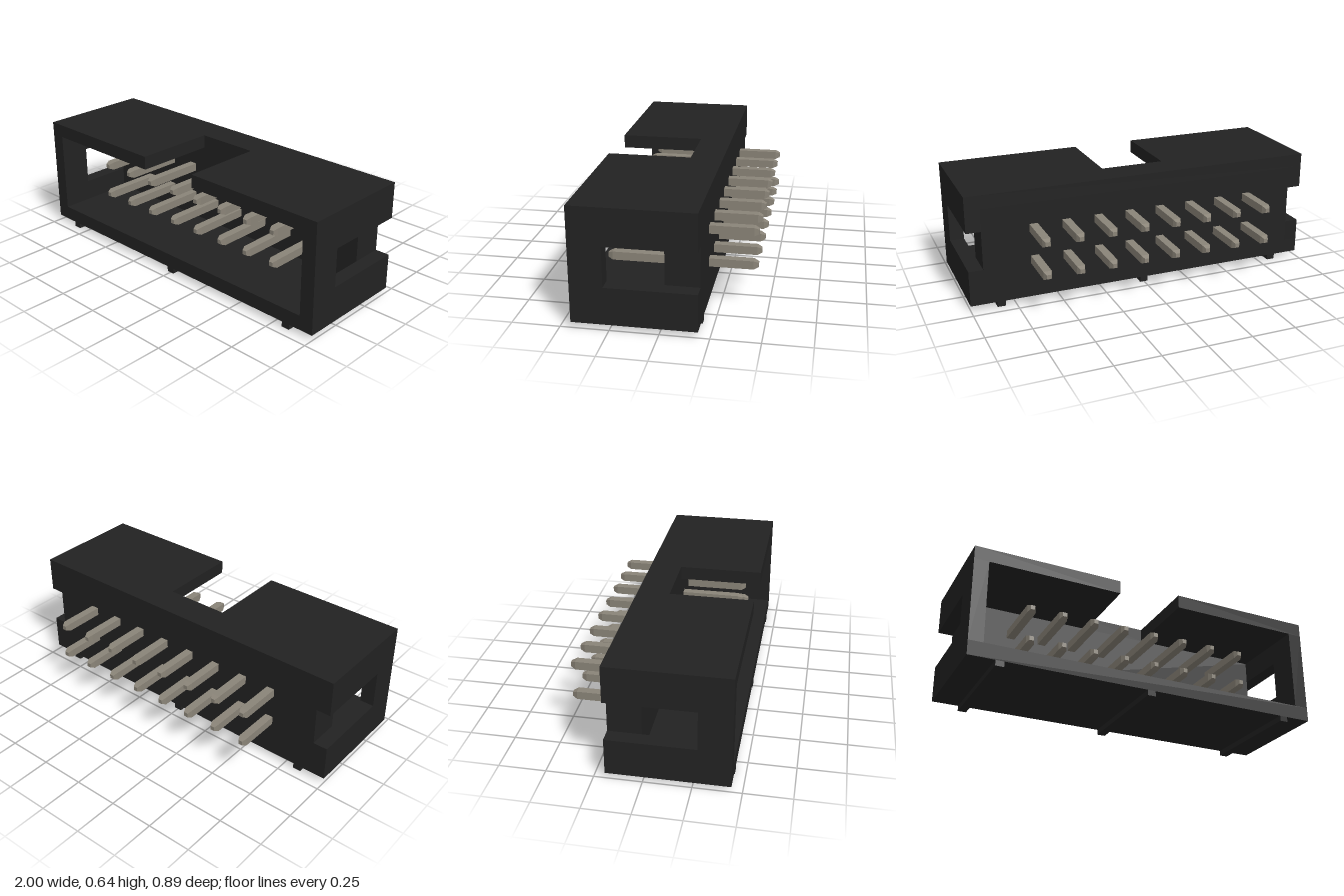
import * as THREE from 'three';

const plastic = new THREE.MeshStandardMaterial({ color: 0x222222 });
const metal = new THREE.MeshStandardMaterial({ color: 0x8a8478, flatShading: true });

// Outer size of the housing and of its cavity
const BACK = -0.192, FRONT = 0.445, BOTTOM = 0.03, TOP = 0.645;
const FLOOR = 0.11, CEILING = 0.57, INNER_X = 0.92, CAVITY_BACK = -0.015;

function addMesh(parent, name, geometry, material) {
  const mesh = new THREE.Mesh(geometry, material);
  mesh.name = name;
  parent.add(mesh);
  return mesh;
}

// Box given by its minimum and maximum corners
function addBox(parent, name, [x0, y0, z0], [x1, y1, z1]) {
  const mesh = addMesh(parent, name, new THREE.BoxGeometry(x1 - x0, y1 - y0, z1 - z0), plastic);
  mesh.position.set((x0 + x1) / 2, (y0 + y1) / 2, (z0 + z1) / 2);
}

function extrude(points, depth) {
  const shape = new THREE.Shape(points.map(([x, y]) => new THREE.Vector2(x, y)));
  return new THREE.ExtrudeGeometry(shape, { depth, bevelEnabled: false });
}

export function createModel() {
  const model = new THREE.Group();
  model.name = 'boxedPinHeader';

  const housing = new THREE.Group();
  housing.name = 'housing';
  model.add(housing);

  // Bottom wall and the solid block that holds the pins
  addBox(housing, 'bottomWall', [-1, BOTTOM, BACK], [1, FLOOR, FRONT]);
  addBox(housing, 'pinBlock', [-INNER_X, FLOOR, BACK], [INNER_X, CEILING, CAVITY_BACK]);

  // Top wall with the key notch, outlined in x and z
  const roof = extrude([
    [-1, BACK], [1, BACK], [1, FRONT], [0.18, FRONT],
    [0.18, CAVITY_BACK], [-0.18, CAVITY_BACK], [-0.18, FRONT], [-1, FRONT],
  ], TOP - CEILING).rotateX(Math.PI / 2);
  addMesh(housing, 'topWall', roof, plastic).position.y = TOP;

  // C-shaped end walls, outlined in z and y, with a slot open to the back
  const wall = extrude([
    [BACK, FLOOR], [FRONT, FLOOR], [FRONT, CEILING], [BACK, CEILING],
    [BACK, 0.445], [0.275, 0.445], [0.275, 0.23], [BACK, 0.23],
  ], 1 - INNER_X).rotateY(-Math.PI / 2);
  addMesh(housing, 'leftEndWall', wall, plastic).position.x = 1;
  addMesh(housing, 'rightEndWall', wall, plastic).position.x = -INNER_X;

  // Standoff ribs under the housing
  for (const x of [-0.832, 0, 0.832]) {
    addBox(housing, 'standoffRib', [x - 0.023, 0, BACK], [x + 0.023, BOTTOM, FRONT]);
  }

  // Two rows of eight square pins with tapered ends
  const pins = new THREE.Group();
  pins.name = 'pins';
  model.add(pins);
  const r = 0.0225 * Math.SQRT2, tip = 0.012 * Math.SQRT2;
  const profile = [
    [0, -0.445], [tip, -0.445], [r, -0.42], [r, 0.312], [tip, 0.337], [0, 0.337],
  ].map(([x, y]) => new THREE.Vector2(x, y));
  const pin = new THREE.LatheGeometry(profile, 4).rotateY(Math.PI / 4).rotateX(Math.PI / 2);
  for (const y of [0.247, 0.428]) {
    for (let i = 0; i < 8; i++) {
      addMesh(pins, 'pin', pin, metal).position.set((i - 3.5) * 0.182, y, 0);
    }
  }
  return model;
}
